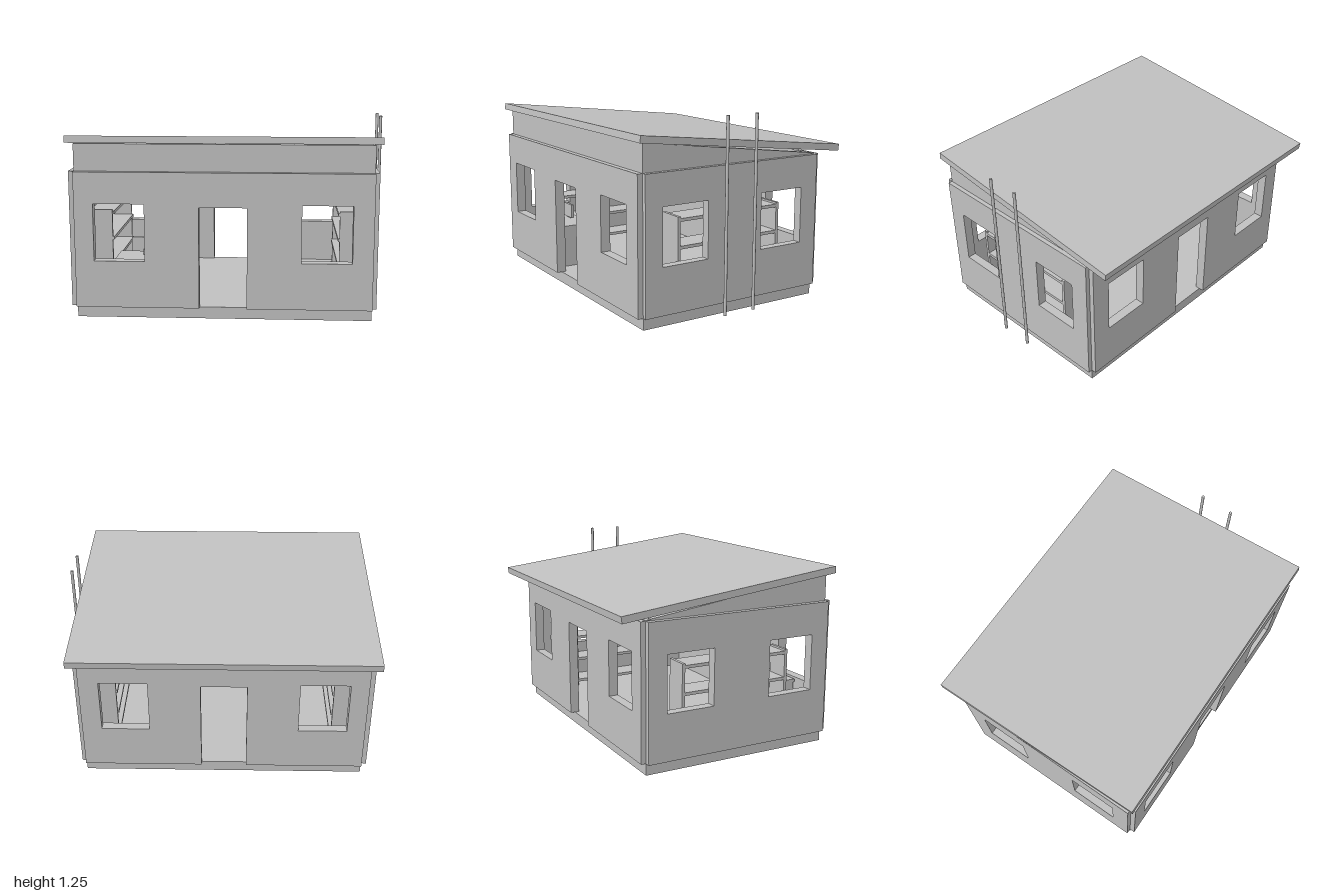
import * as THREE from 'three';

export function createModel() {
  const model = new THREE.Group();
  model.name = 'cabin';
  const grey = new THREE.MeshStandardMaterial({ color: 0xc0c0c0 });
  grey.name = 'plain grey';

  const add = (name, geometry, parent = model) => {
    const mesh = new THREE.Mesh(geometry, grey);
    mesh.name = name;
    parent.add(mesh);
    return mesh;
  };

  // Box given by its limits on each axis
  const box = (name, [x0, x1], [y0, y1], [z0, z1], parent) => {
    const mesh = add(name, new THREE.BoxGeometry(x1 - x0, y1 - y0, z1 - z0), parent);
    mesh.position.set((x0 + x1) / 2, (y0 + y1) / 2, (z0 + z1) / 2);
    return mesh;
  };

  // Flat panel with rectangular openings [u0, u1, v0, v1]
  const panel = (outline, openings, depth) => {
    const shape = new THREE.Shape(outline.map(([u, v]) => new THREE.Vector2(u, v)));
    for (const [u0, u1, v0, v1] of openings) {
      shape.holes.push(new THREE.Path([[u0, v0], [u0, v1], [u1, v1], [u1, v0]]
        .map(([u, v]) => new THREE.Vector2(u, v))));
    }
    return new THREE.ExtrudeGeometry(shape, { depth, bevelEnabled: false });
  };
  const rect = (u0, u1, v0, v1) => [[u0, v0], [u1, v0], [u1, v1], [u0, v1]];

  const X0 = -0.955, X1 = 0.91, Z0 = -0.575, Z1 = 0.71;
  const FLOOR = 0.075, CLAD_TOP = 0.94, T = 0.03;
  const windows = [[-0.835, -0.515, 0.375, 0.74], [0.465, 0.78, 0.375, 0.74]];
  const sideWindows = [[0.27, 0.59, 0.375, 0.737], [-0.45, -0.13, 0.375, 0.737]];
  const door = [-0.175, 0.125];

  // Floor slab
  box('floorSlab', [X0, X1], [0, FLOOR], [Z0, Z1]);

  // Front and back: outline is notched upward from the floor for the doorway
  const doorOutline = (top) => [
    [X0, FLOOR], [door[0], FLOOR], [door[0], 0.722], [door[1], 0.722],
    [door[1], FLOOR], [X1, FLOOR], [X1, top], [X0, top],
  ];
  add('frontWall', panel(doorOutline(1.112), windows, T)).position.z = Z1 - T;
  add('frontCladding', panel(doorOutline(CLAD_TOP), windows, 0.035)).position.z = Z1;
  add('backWall', panel(doorOutline(0.945), windows, T)).position.z = Z0;
  add('backCladding', panel(doorOutline(CLAD_TOP), windows, 0.032)).position.z = Z0 - 0.032;

  // Side walls with sloping tops; the panel's u axis runs along z
  const slope = (z) => 0.945 + (z - Z0) * (1.115 - 0.945) / (Z1 - Z0);
  const za = Z0 + T, zb = Z1 - T;
  const sideOutline = [[za, FLOOR], [zb, FLOOR], [zb, slope(zb)], [za, slope(za)]];
  const side = (name, outline, depth, outerX) => {
    const geometry = panel(outline, sideWindows, depth).rotateY(-Math.PI / 2);
    add(name, geometry).position.x = outerX;
  };
  const cladOutline = rect(Z0, Z1, FLOOR, CLAD_TOP);
  side('leftWall', sideOutline, T, X1);
  side('rightWall', sideOutline, T, X0 + T);
  side('leftCladding', cladOutline, 0.028, X1 + 0.028);
  side('rightCladding', cladOutline, 0.035, X0);

  // Single-pitch roof
  const roof = add('roof', new THREE.BoxGeometry(1.95, 0.044, 1.506));
  roof.position.set(-0.025, 1.057, 0);
  roof.rotation.x = -0.114;

  // Two free-standing poles beside the left wall
  for (const z of [0.175, -0.04]) {
    const pole = add('pole', new THREE.CylinderGeometry(0.01, 0.01, 1.23, 12));
    pole.position.set(0.99, 0.63, z);
  }

  // Shelving units along both side walls
  const shelving = (name, ends, shelves) => {
    const unit = new THREE.Group();
    unit.name = name;
    model.add(unit);
    for (const z of [0.43, -0.315]) box('endBoard', ends, [FLOOR, 0.647], [z, z + 0.02], unit);
    for (const y of [0.105, 0.275, 0.445, 0.615]) {
      box('shelf', shelves, [y, y + 0.02], [-0.305, 0.442], unit);
    }
  };
  shelving('rightShelving', [X0 + T, -0.77], [X0 + T, -0.76]);
  shelving('leftShelving', [0.717, X1 - T], [0.708, X1 - T]);

  // Desk with a screen under the front window
  const desk = new THREE.Group();
  desk.name = 'desk';
  model.add(desk);
  box('deskTop', [-0.72, -0.28], [0.345, 0.365], [0.42, 0.67], desk);
  for (const x of [-0.72, -0.3]) box('deskSide', [x, x + 0.02], [FLOOR, 0.345], [0.43, 0.66], desk);
  box('screen', [-0.63, -0.4], [0.385, 0.48], [0.5, 0.518], desk);
  box('screenStand', [-0.555, -0.535], [0.365, 0.4], [0.515, 0.528], desk);
  box('deskItem', [-0.55, -0.48], [0.365, 0.408], [0.462, 0.487], desk);

  return model;
}
